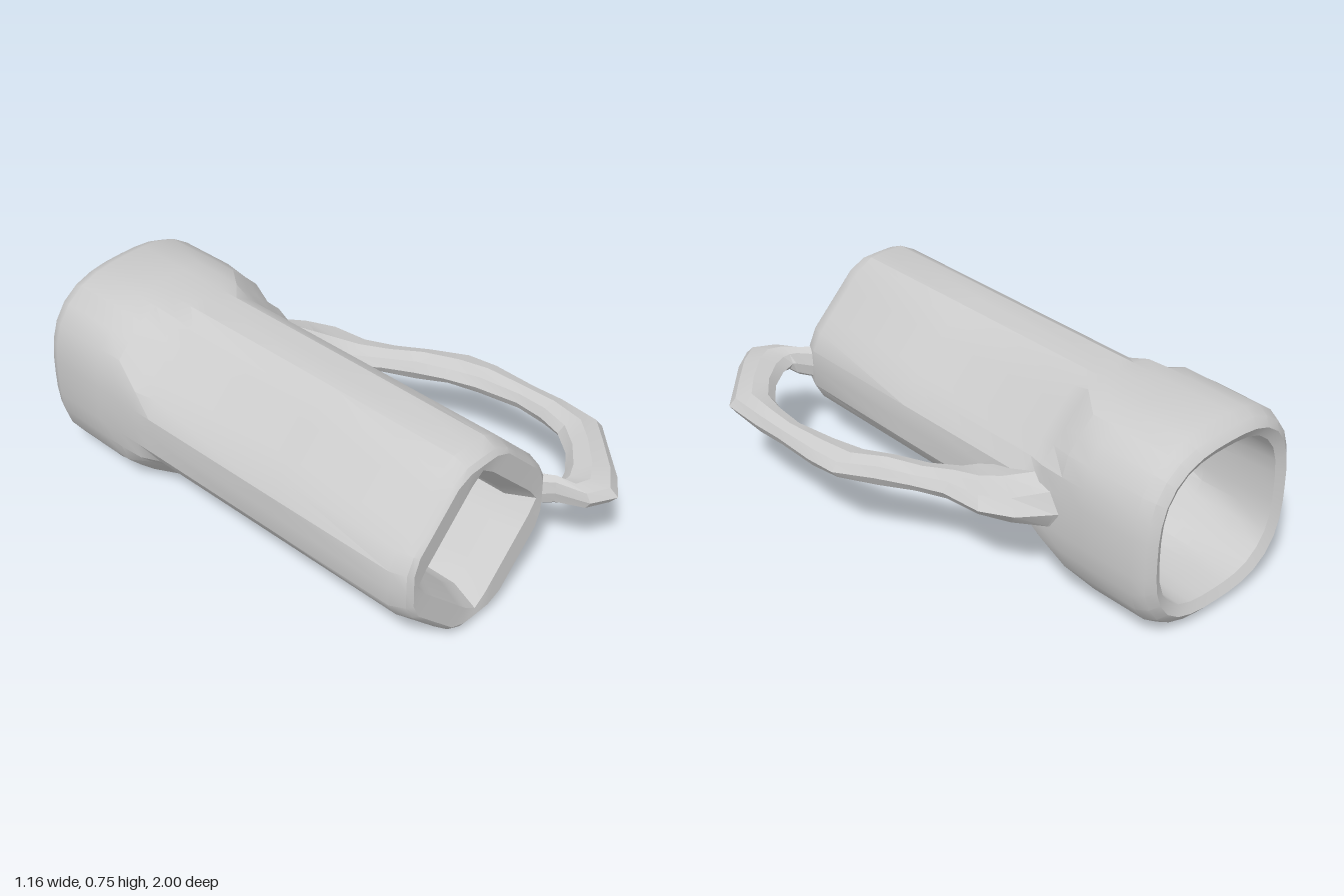
import * as THREE from 'three';
import { toCreasedNormals } from 'three/addons/utils/BufferGeometryUtils.js';

const CX = -0.205, CY = 0.382;

// Skin a list of equal-length rings of Vector3
function loft(rings, { loop = false, crease = 0.5 } = {}) {
  const n = rings[0].length, count = rings.length;
  const index = [];
  const steps = loop ? count : count - 1;
  for (let i = 0; i < steps; i++) {
    const k = (i + 1) % count;
    for (let j = 0; j < n; j++) {
      const m = (j + 1) % n;
      const a = i * n + j, b = k * n + j, c = k * n + m, d = i * n + m;
      index.push(a, b, d, b, c, d);
    }
  }
  const geo = new THREE.BufferGeometry().setFromPoints(rings.flat());
  geo.setIndex(index);
  return toCreasedNormals(geo, crease);
}

// Rounded square of half-width r whose corners are cut where |x| + |y| = cut
function bodyRing([z, r, cut]) {
  return Array.from({ length: 32 }, (_, j) => {
    const a = (j / 32) * Math.PI * 2;
    const c = Math.abs(Math.cos(a)), s = Math.abs(Math.sin(a));
    const rad = Math.min(r / Math.pow(c ** 2.8 + s ** 2.8, 1 / 2.8), cut / (c + s));
    return new THREE.Vector3(CX + rad * Math.cos(a), CY + rad * Math.sin(a), z);
  });
}

// Handle section spanning from inner to outer point, with half-height h
function handleRing([xi, zi, xo, zo, h]) {
  return Array.from({ length: 8 }, (_, j) => {
    const a = (j / 8) * Math.PI * 2;
    const t = 0.5 + Math.cos(a) / 2;
    return new THREE.Vector3(xi + (xo - xi) * t, 0.385 - h * Math.sin(a), zi + (zo - zi) * t);
  });
}

export function createModel() {
  const group = new THREE.Group();
  const material = new THREE.MeshStandardMaterial({ color: 0xcccccc, side: THREE.DoubleSide });
  const add = (name, geo) => {
    const mesh = new THREE.Mesh(geo, material);
    mesh.name = name;
    group.add(mesh);
  };

  // Hollow body: outside from front to back, then the bore back to the front [z, half-width, cut]
  const profile = [
    [0.80, 0.33, 0.43], [0.785, 0.35, 0.45], [0.73, 0.374, 0.475],
    [0.2, 0.376, 0.475], [-0.42, 0.376, 0.475],
    [-0.5, 0.376, 0.51], [-0.6, 0.376, 0.57], [-0.7, 0.376, 0.59],
    [-0.93, 0.374, 0.59], [-0.975, 0.355, 0.565], [-1.0, 0.325, 0.52],
    [-0.98, 0.29, 0.45], [-0.85, 0.285, 0.43], [-0.68, 0.28, 0.40],
    [-0.55, 0.265, 0.33], [-0.45, 0.25, 0.265],
    [0.1, 0.25, 0.265], [0.7, 0.25, 0.265], [0.795, 0.305, 0.32],
  ];
  add('body', loft(profile.map(bodyRing), { loop: true }));

  // Side handle, from the head end to the front rim [xInner, zInner, xOuter, zOuter, halfHeight]
  const stations = [
    [0.08, -0.42, 0.11, -0.66, 0.12], [0.13, -0.33, 0.18, -0.59, 0.10],
    [0.15, -0.24, 0.29, -0.51, 0.07], [0.17, -0.20, 0.355, -0.40, 0.055],
    [0.22, -0.19, 0.37, -0.24, 0.05], [0.29, -0.10, 0.42, -0.13, 0.045],
    [0.35, 0.01, 0.485, -0.01, 0.055], [0.40, 0.12, 0.57, 0.12, 0.045],
    [0.44, 0.24, 0.58, 0.24, 0.05], [0.47, 0.41, 0.575, 0.42, 0.045],
    [0.46, 0.53, 0.58, 0.55, 0.05], [0.43, 0.63, 0.575, 0.72, 0.045],
    [0.36, 0.72, 0.50, 0.80, 0.05], [0.28, 0.78, 0.38, 0.93, 0.05],
    [0.23, 0.80, 0.29, 1.0, 0.045], [0.21, 0.81, 0.20, 0.95, 0.045],
    [0.20, 0.80, 0.16, 0.83, 0.06], [0.15, 0.72, 0.09, 0.76, 0.07],
  ];
  add('handle', loft(stations.map(handleRing), { crease: 0.3 }));

  return group;
}
